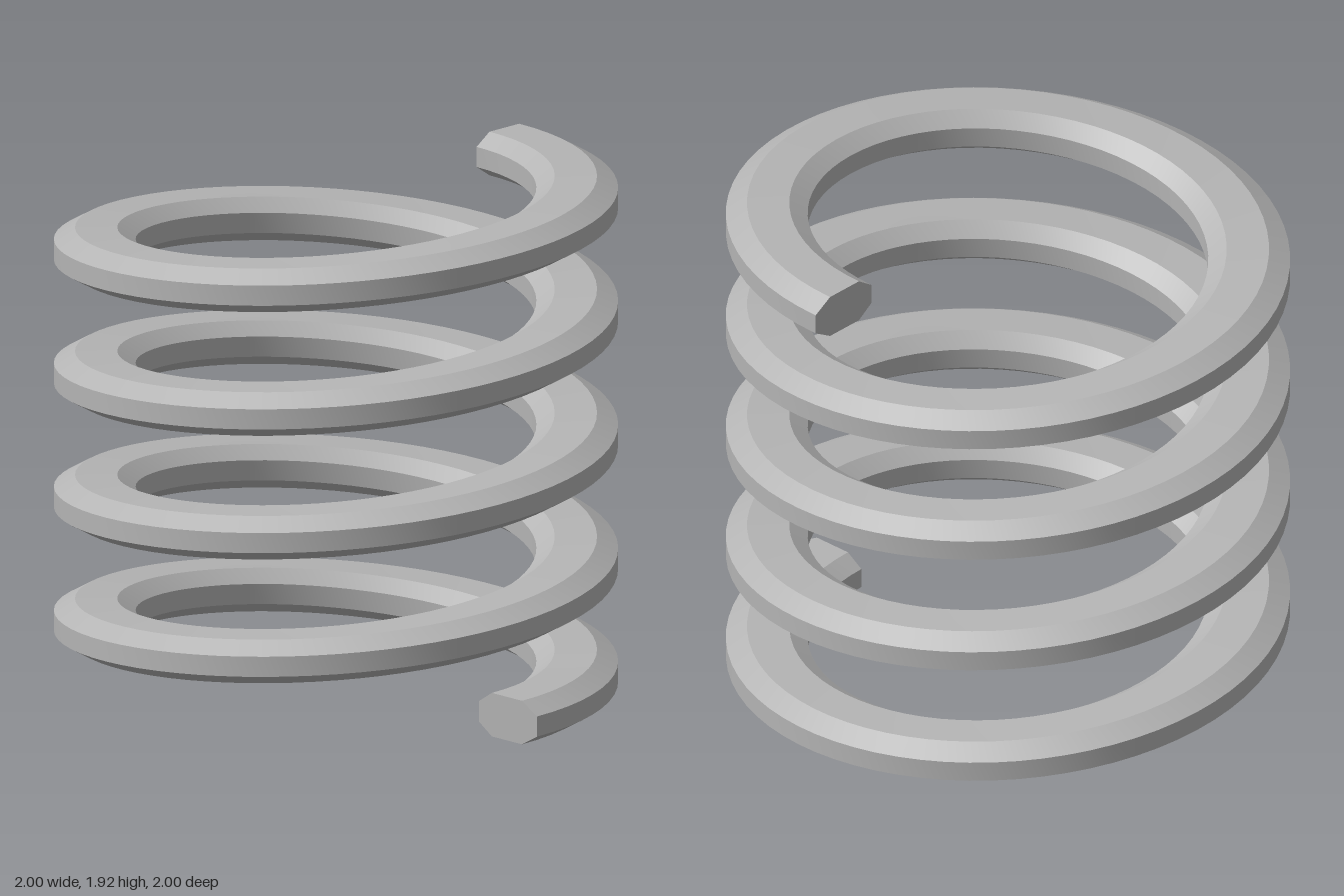
import * as THREE from 'three';

// Wire cross-section (radius, height from wire centre), anticlockwise
const SECTION = [
  [0.775, -0.08], [0.925, -0.08], [1, -0.037], [1, 0.037],
  [0.925, 0.08], [0.775, 0.08], [0.71, 0.037], [0.71, -0.037],
];
const TURNS = 4.25, EASE = 0.379, START_Y = 0.08, RISE = 1.76;
const PITCH = RISE / (TURNS - EASE);
const STEPS = 306;

// Height of the wire centre: constant pitch, levelling off at both ends
function height(turn) {
  if (turn < EASE) return START_Y + PITCH * turn * turn / (2 * EASE);
  const left = TURNS - turn;
  if (left < EASE) return START_Y + RISE - PITCH * left * left / (2 * EASE);
  return START_Y + PITCH * (turn - EASE / 2);
}

function point([r, h], turn) {
  const a = turn * Math.PI * 2;
  return [r * Math.cos(a), height(turn) + h, -r * Math.sin(a)];
}

function makeGeometry(positions, index) {
  const geometry = new THREE.BufferGeometry();
  geometry.setAttribute('position', new THREE.Float32BufferAttribute(positions, 3));
  geometry.setIndex(index);
  geometry.computeVertexNormals();
  return geometry;
}

// One side of the wire, smooth along the coil and sharp at its edges
function sideStrip(p, q) {
  const positions = [], index = [];
  for (let i = 0; i <= STEPS; i++) {
    const turn = TURNS * i / STEPS;
    positions.push(...point(p, turn), ...point(q, turn));
    if (i < STEPS) {
      const a = i * 2;
      index.push(a, a + 2, a + 1, a + 1, a + 2, a + 3);
    }
  }
  return makeGeometry(positions, index);
}

// Flat cut face at an end of the wire
function endFace(turn, flip) {
  const index = [];
  for (let k = 1; k < SECTION.length - 1; k++) {
    index.push(...(flip ? [0, k + 1, k] : [0, k, k + 1]));
  }
  return makeGeometry(SECTION.flatMap((p) => point(p, turn)), index);
}

export function createModel() {
  const steel = new THREE.MeshStandardMaterial({ color: 0xb4b4b4 });
  steel.name = 'steel grey';
  const model = new THREE.Group();
  model.name = 'coilSpring';
  const add = (name, geometry) => {
    const mesh = new THREE.Mesh(geometry, steel);
    mesh.name = name;
    model.add(mesh);
  };

  SECTION.forEach((p, k) => {
    add(`coilSide${k + 1}`, sideStrip(p, SECTION[(k + 1) % SECTION.length]));
  });
  add('bottomEnd', endFace(0, false));
  add('topEnd', endFace(TURNS, true));
  return model;
}
